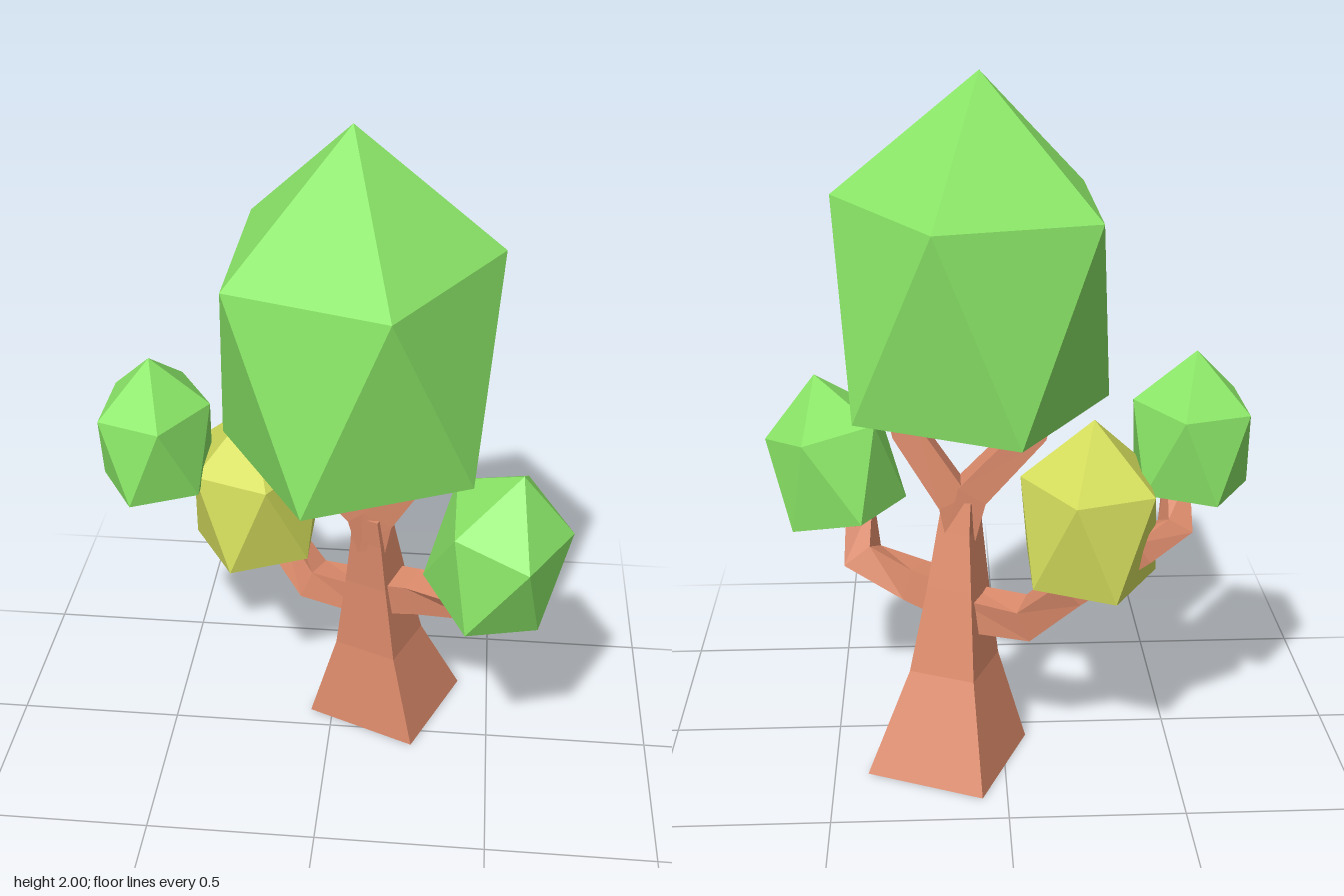
import * as THREE from 'three';

const material = (color) => new THREE.MeshStandardMaterial({ color, flatShading: true });
const bark = material(0xdc8b6b);
const green = material(0x8ae667);
const yellow = material(0xd4dd5c);

// Skins rings of equal length into a closed, faceted solid; each end closes on a point
function loft(rings, start, end) {
  const out = [];
  const tri = (a, b, c) => [a, b, c].forEach((p) => out.push(p.x, p.y, p.z));
  const n = rings[0].length;
  for (let i = 0; i < n; i++) {
    const j = (i + 1) % n;
    tri(start, rings[0][j], rings[0][i]);
    for (let k = 0; k < rings.length - 1; k++) {
      const a = rings[k], b = rings[k + 1];
      tri(a[i], a[j], b[j]);
      tri(a[i], b[j], b[i]);
    }
    tri(end, rings.at(-1)[i], rings.at(-1)[j]);
  }
  const geometry = new THREE.BufferGeometry();
  geometry.setAttribute('position', new THREE.Float32BufferAttribute(out, 3));
  geometry.computeVertexNormals();
  return geometry;
}

// Four-sided limb through stations [x, y, z, radius]; level keeps every section horizontal
function limb(name, stations, phase = Math.PI / 4, level = false) {
  const pts = stations.map(([x, y, z]) => new THREE.Vector3(x, y, z));
  const rings = pts.map((p, k) => {
    const t = level
      ? new THREE.Vector3(0, 1, 0)
      : pts[Math.min(k + 1, pts.length - 1)].clone().sub(pts[Math.max(k - 1, 0)]).normalize();
    const u = new THREE.Vector3(0, 0, 1).cross(t).normalize();
    const v = t.clone().cross(u);
    return [0, 1, 2, 3].map((i) => {
      const a = phase + (i * Math.PI) / 2;
      return p.clone()
        .addScaledVector(u, Math.cos(a) * stations[k][3])
        .addScaledVector(v, Math.sin(a) * stations[k][3]);
    });
  });
  const mesh = new THREE.Mesh(loft(rings, pts[0], pts.at(-1)), bark);
  mesh.name = name;
  return mesh;
}

// Twenty-faced leaf crown with its tip at the origin: two staggered rings of five
function crownGeometry() {
  const ring = (cx, y, phase) => [0, 1, 2, 3, 4].map((i) => {
    const a = phase - (i * Math.PI * 2) / 5;
    const x = Math.cos(a) * 0.4;
    return new THREE.Vector3(cx + x, y + x * 0.035, Math.sin(a) * 0.487);
  });
  const low = ring(0.03, -0.908, -Math.PI / 5);
  const high = ring(0.01, -0.345, 0);
  return loft([low, high], new THREE.Vector3(0.05, -1.03, 0), new THREE.Vector3(0, 0, 0));
}

export function createModel() {
  const model = new THREE.Group();
  model.name = 'tree';

  // Trunk, leaning and tapering from a wide square foot
  model.add(limb('trunk', [
    [0.167, 0, -0.167, 0.255],
    [0.145, 0.29, -0.12, 0.142],
    [0.132, 0.54, -0.09, 0.097],
    [0.125, 0.7, -0.065, 0.072],
    [0.117, 0.79, -0.052, 0.062],
  ], 1.955, true));

  // Fork under the main crown
  model.add(limb('leftFork', [
    [0.122, 0.68, -0.06, 0.06], [0.14, 0.79, -0.055, 0.066], [0.275, 1.0, -0.035, 0.058], [0.295, 1.09, -0.03, 0.055],
  ]));
  model.add(limb('rightFork', [
    [0.122, 0.68, -0.06, 0.06], [0.09, 0.81, -0.055, 0.066], [-0.09, 1.0, -0.05, 0.058], [-0.115, 1.09, -0.05, 0.05],
  ]));

  // Side branches
  model.add(limb('leftBranch', [
    [0.14, 0.49, -0.09, 0.08], [0.26, 0.52, -0.04, 0.07], [0.415, 0.565, 0.04, 0.07], [0.42, 0.72, 0.1, 0.055],
  ]));
  model.add(limb('rightBranch', [
    [0.13, 0.46, -0.1, 0.075], [-0.07, 0.455, -0.17, 0.07], [-0.19, 0.59, -0.24, 0.062],
    [-0.38, 0.725, -0.28, 0.052], [-0.475, 0.775, -0.25, 0.056], [-0.485, 0.9, -0.17, 0.045],
  ]));

  // Leaf crowns: name, material, tip position, scale, tilt about x and z
  const geometry = crownGeometry();
  [
    ['mainCrown', green, [0.06, 2, 0], 1, 0, 0],
    ['leftCrown', green, [0.55, 1.09, 0.19], 0.468, 0.13, -0.23],
    ['rightCrown', green, [-0.54, 1.245, -0.11], 0.427, 0, 0],
    ['yellowCrown', yellow, [-0.25, 1.07, -0.18], 0.5, 0, 0],
  ].forEach(([name, mat, tip, scale, tiltX, tiltZ]) => {
    const crown = new THREE.Mesh(geometry, mat);
    crown.name = name;
    crown.position.set(...tip);
    crown.scale.setScalar(scale);
    crown.rotation.set(tiltX, 0, tiltZ);
    model.add(crown);
  });

  return model;
}
